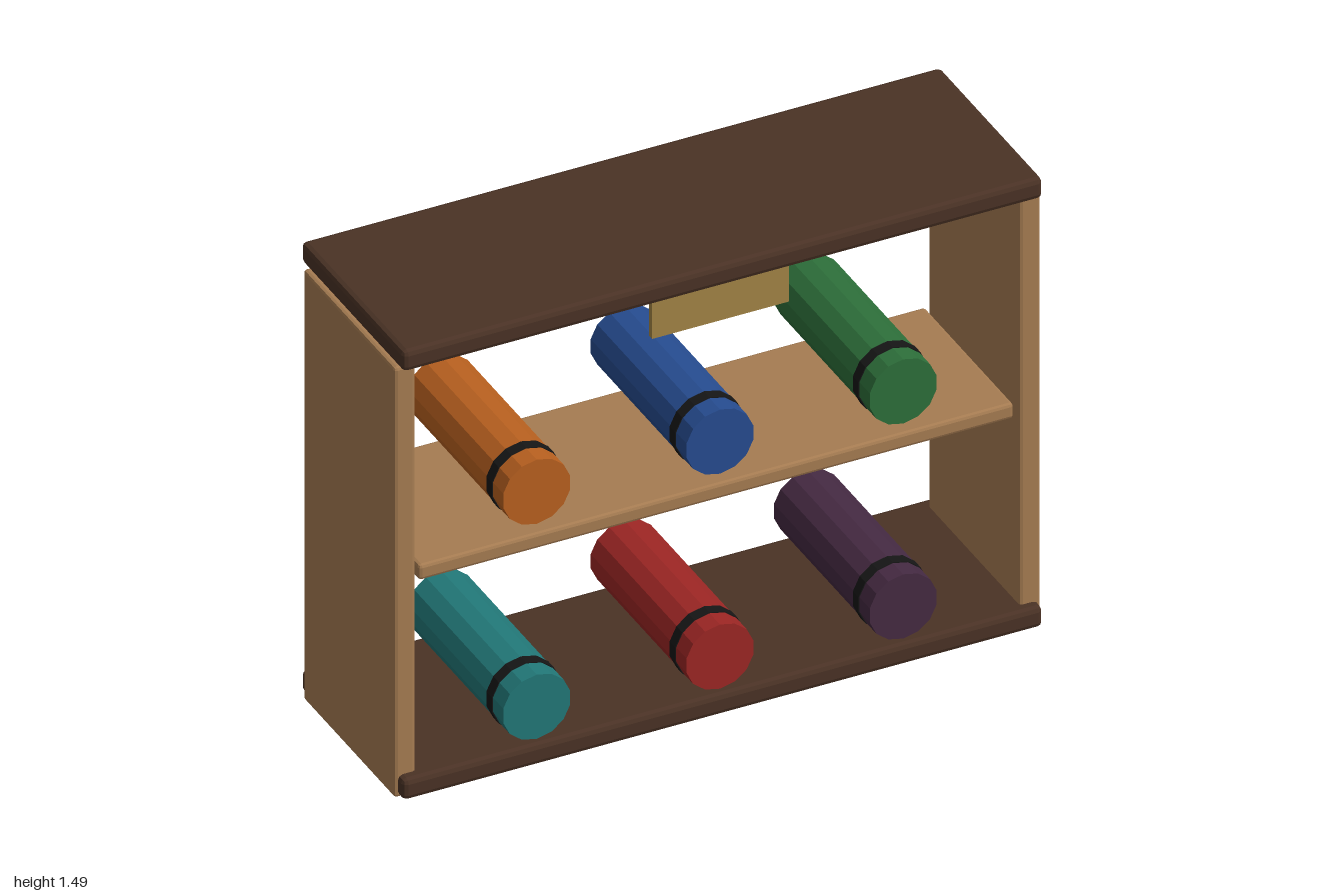
import * as THREE from 'three';
import { RoundedBoxGeometry } from 'three/addons/geometries/RoundedBoxGeometry.js';

const material = (color) => new THREE.MeshStandardMaterial({ color, flatShading: true });

export function createModel() {
  const group = new THREE.Group();
  const wood = material(0xa67c52);
  const darkWood = material(0x4a3225);
  const black = material(0x161616);

  function add(name, geometry, mat, x, y, z, parent = group) {
    const mesh = new THREE.Mesh(geometry, mat);
    mesh.name = name;
    mesh.position.set(x, y, z);
    parent.add(mesh);
    return mesh;
  }

  // Board with chamfered edges
  const board = (w, h, d, bevel) => new RoundedBoxGeometry(w, h, d, 1, bevel);

  // Frame: top and bottom boards overhang the side panels in depth
  add('topBoard', board(1.98, 0.068, 0.636, 0.016), darkWood, 0, 1.455, 0);
  add('bottomBoard', board(1.98, 0.068, 0.636, 0.016), darkWood, 0, 0.04, 0);
  add('leftPanel', board(0.066, 1.42, 0.566, 0.01), wood, 0.967, 0.71, 0);
  add('rightPanel', board(0.066, 1.42, 0.566, 0.01), wood, -0.967, 0.71, 0);
  add('shelf', board(1.84, 0.05, 0.55, 0.01), wood, 0, 0.715, 0);

  // Plain plate hanging at the front under the top board
  add('plaque', new THREE.BoxGeometry(0.424, 0.118, 0.02), material(0xa38445), 0, 1.357, 0.29);

  // Two rows of lying rolls, each with a dark band near the front end
  const rollGeometry = new THREE.CylinderGeometry(0.106, 0.106, 0.592, 14).rotateX(Math.PI / 2);
  const bandGeometry = new THREE.CylinderGeometry(0.109, 0.109, 0.035, 14).rotateX(Math.PI / 2);
  const rows = [
    { y: 0.895, colors: [0xb8601f, 0x264c90, 0x2d6f3a] },
    { y: 0.185, colors: [0x227878, 0x9c2624, 0x452a42] },
  ];
  for (const { y, colors } of rows) {
    colors.forEach((color, i) => {
      const roll = new THREE.Group();
      roll.name = 'roll';
      roll.position.set((i - 1) * 0.567, y, 0);
      group.add(roll);
      add('rollBody', rollGeometry, material(color), 0, 0, 0, roll);
      add('rollBand', bandGeometry, black, 0, 0, 0.215, roll);
    });
  }

  return group;
}
